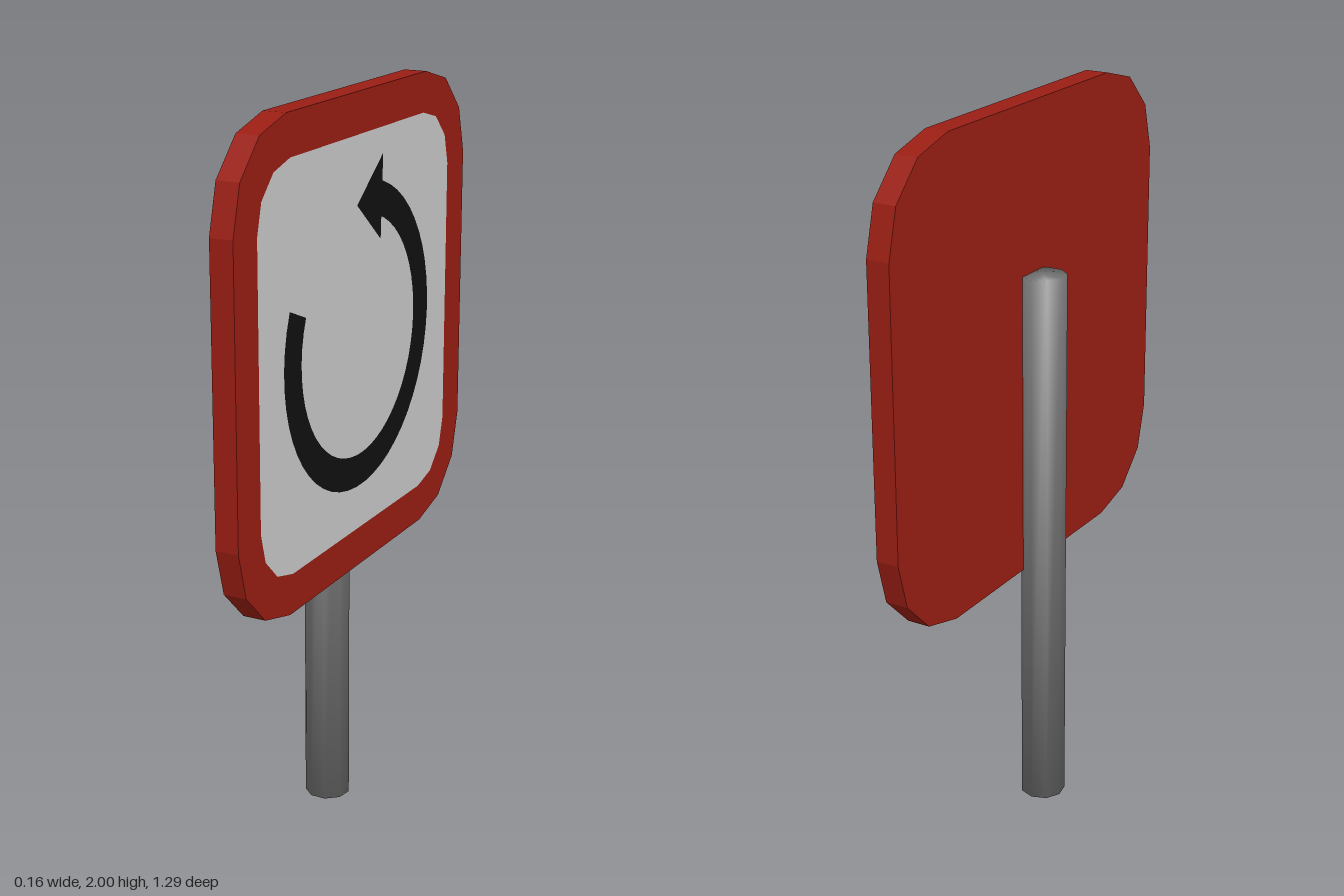
import * as THREE from 'three';

const CENTER_Y = 1.356;

// Square outline with chamfer-like corners of three segments each
function roundedSquare(half, radius) {
  const c = half - radius;
  const points = [];
  [[1, 1], [-1, 1], [-1, -1], [1, -1]].forEach(([sx, sy], quarter) => {
    for (let i = 0; i <= 3; i++) {
      const a = quarter * Math.PI / 2 + i * Math.PI / 6;
      points.push(new THREE.Vector2(sx * c + radius * Math.cos(a), sy * c + radius * Math.sin(a)));
    }
  });
  return new THREE.Shape(points);
}

function addMesh(parent, name, geometry, color, z = 0) {
  const mesh = new THREE.Mesh(geometry, new THREE.MeshStandardMaterial({ color }));
  mesh.name = name;
  mesh.position.z = z;
  parent.add(mesh);
  return mesh;
}

export function createModel() {
  const model = new THREE.Group();
  model.name = 'roadSign';

  // Sign is drawn in its own XY plane, then turned to face +x
  const sign = new THREE.Group();
  sign.name = 'sign';
  sign.rotation.y = Math.PI / 2;
  sign.position.set(0.002, CENTER_Y, 0);
  model.add(sign);

  // Red board and the light panel on its face
  const depth = 0.064;
  const board = new THREE.ExtrudeGeometry(roundedSquare(0.644, 0.256), { depth, bevelEnabled: false });
  addMesh(sign, 'board', board, 0x9a1e14);
  addMesh(sign, 'panel', new THREE.ShapeGeometry(roundedSquare(0.535, 0.162)), 0xcccccc, depth + 0.001);

  // Circular arrow: ring band plus triangular head
  const arrow = new THREE.Group();
  arrow.name = 'arrow';
  arrow.position.z = depth + 0.002;
  sign.add(arrow);
  const start = THREE.MathUtils.degToRad(157.5);
  const sweep = THREE.MathUtils.degToRad(275);
  addMesh(arrow, 'arrowBand', new THREE.RingGeometry(0.323, 0.413, 40, 1, start, sweep), 0x101010);
  const head = new THREE.Shape([
    new THREE.Vector2(-0.021, 0.354),
    new THREE.Vector2(0.116, 0.24),
    new THREE.Vector2(0.127, 0.466),
  ]);
  addMesh(arrow, 'arrowHead', new THREE.ShapeGeometry(head), 0x101010);

  // Nine-sided post with softly shaded rims
  const height = 1.55;
  const radius = 0.063;
  const post = new THREE.CylinderGeometry(radius, radius, height, 9, 1, false, Math.PI);
  const pos = post.attributes.position;
  const normal = new THREE.Vector3();
  for (let i = 0; i < pos.count; i++) {
    normal.set(pos.getX(i) / radius, 0.6 * Math.sign(pos.getY(i)), pos.getZ(i) / radius).normalize();
    post.attributes.normal.setXYZ(i, normal.x, normal.y, normal.z);
  }
  addMesh(model, 'post', post, 0x747474).position.set(-0.03, height / 2, 0);

  return model;
}
